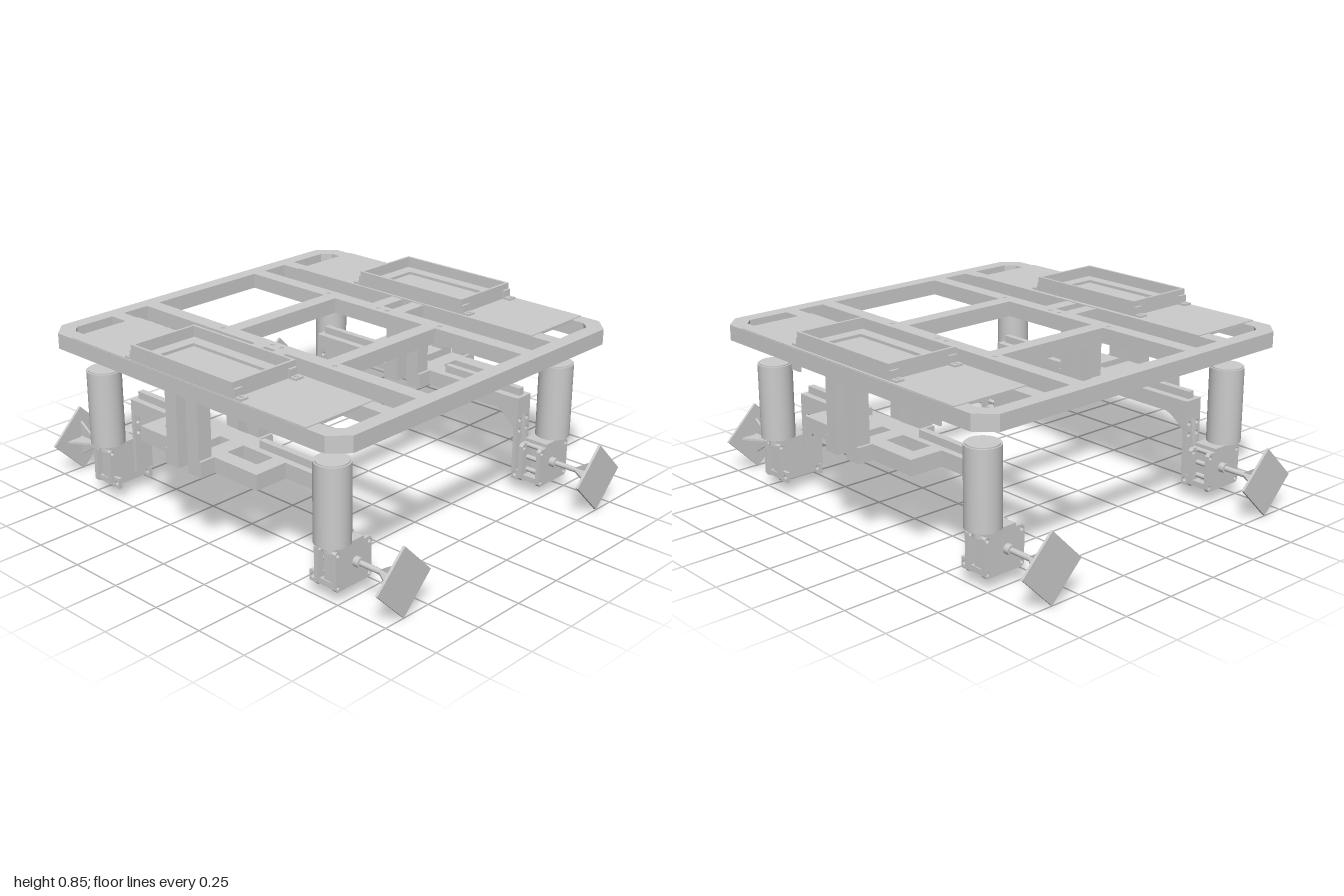
import * as THREE from 'three';

const grey = new THREE.MeshStandardMaterial({ color: 0xcccccc });

function add(parent, name, geometry) {
  const mesh = new THREE.Mesh(geometry, grey);
  mesh.name = name;
  parent.add(mesh);
  return mesh;
}

// Box given by its limits on each axis
function box(parent, name, x0, x1, y0, y1, z0, z1) {
  const g = new THREE.BoxGeometry(Math.abs(x1 - x0), y1 - y0, Math.abs(z1 - z0));
  g.translate((x0 + x1) / 2, (y0 + y1) / 2, (z0 + z1) / 2);
  return add(parent, name, g);
}

const poly = (pts) => new THREE.Shape(pts.map(([x, y]) => new THREE.Vector2(x, y)));
const rect = (x0, x1, y0, y1) => poly([[x0, y0], [x1, y0], [x1, y1], [x0, y1]]);
const hole = (x, y, r) => new THREE.Path().absarc(x, y, r, 0, Math.PI * 2, true);
const extrude = (shape, depth) =>
  new THREE.ExtrudeGeometry(shape, { depth, bevelEnabled: false, curveSegments: 14 });

// Shape in plan (x, -z), extruded upward from y0
const slab = (shape, y0, y1) => extrude(shape, y1 - y0).rotateX(-Math.PI / 2).translate(0, y0, 0);
// Shape in side view (z, y), thickness centred on x
const sideSlab = (shape, t, x) => extrude(shape, t).translate(0, 0, -t / 2).rotateY(-Math.PI / 2).translate(x, 0, 0);
// Shape in front view (x, y), from z0 to z1
const frontSlab = (shape, z0, z1) => extrude(shape, z1 - z0).translate(0, 0, z0);

function chamfered(x0, x1, z0, z1, c) {
  return poly([[x0 + c, z0], [x1 - c, z0], [x1, z0 + c], [x1, z1 - c],
    [x1 - c, z1], [x0 + c, z1], [x0, z1 - c], [x0, z0 + c]]);
}

function buildFrame(root) {
  const f = chamfered(-0.873, 0.873, -0.873, 0.873, 0.075);
  for (const [a, b] of [[-0.805, -0.335], [-0.265, 0.265], [0.335, 0.805]]) f.holes.push(rect(-0.3, 0.3, a, b));
  for (const s of [-1, 1]) {
    for (const [a, b] of [[-0.805, -0.095], [-0.03, 0.03], [0.095, 0.805]]) {
      f.holes.push(rect(Math.min(s * 0.37, s * 0.505), Math.max(s * 0.37, s * 0.505), a, b));
    }
    // Window under the side deck, clipped at its outer corners
    f.holes.push(poly([[s * 0.57, -0.805], [s * 0.765, -0.805], [s * 0.803, -0.765],
      [s * 0.803, 0.765], [s * 0.765, 0.805], [s * 0.57, 0.805]]));
    for (const z of [-0.335, -0.028, 0.028, 0.335]) f.holes.push(hole(s * 0.333, z, 0.01));
  }
  add(root, 'frame', slab(f, 0.705, 0.775));
}

function buildTray(root, cx) {
  const tray = new THREE.Group();
  tray.name = 'tray';
  tray.position.x = cx;
  root.add(tray);
  const w = 0.172, d = 0.305;
  const wall = rect(-w, w, -d, d);
  wall.holes.push(rect(-w + 0.012, w - 0.012, -d + 0.012, d - 0.012));
  add(tray, 'trayWall', slab(wall, 0.78, 0.847));
  // Floor with a shallow recess
  box(tray, 'trayFloor', -w, w, 0.778, 0.785, -d, d);
  const rim = rect(-w + 0.012, w - 0.012, -d + 0.012, d - 0.012);
  rim.holes.push(rect(-0.105, 0.105, -0.235, 0.235));
  add(tray, 'trayRim', slab(rim, 0.785, 0.798));
  for (const sx of [-1, 1]) for (const sz of [-1, 1]) {
    const x = sx * 0.149;
    box(tray, 'tabUpright', x - 0.021, x + 0.021, 0.778, 0.82, sz * 0.305, sz * 0.316);
    const foot = rect(x - 0.021, x + 0.021, Math.min(sz * 0.305, sz * 0.348), Math.max(sz * 0.305, sz * 0.348));
    foot.holes.push(hole(x, sz * 0.331, 0.01));
    add(tray, 'tabFoot', slab(foot, 0.775, 0.788));
  }
}

function buildSide(root, s) {
  const side = new THREE.Group();
  side.name = s > 0 ? 'leftSide' : 'rightSide';
  root.add(side);
  box(side, 'deck', s * 0.505, s * 0.871, 0.766, 0.779, -0.703, 0.703);
  for (const z of [-1, 1]) {
    // Post pairs and the lower beams that join them
    for (const x of [0.472, 0.803]) box(side, 'post', s * x, s * (x + 0.07), 0.45, 0.705, z * 0.03, z * 0.097);
    box(side, 'lowerBeam', s * 0.472, s * 0.873, 0.38, 0.45, z * 0.03, z * 0.11);
    // Forked outrigger beside the arm
    box(side, 'forkRail', s * 0.73, s * 0.8, 0.38, 0.45, z * 0.11, z * 0.355);
    box(side, 'forkEnd', s * 0.63, s * 0.73, 0.38, 0.45, z * 0.285, z * 0.355);
    // Hanging bracket under the deck
    box(side, 'bracketTop', s * 0.685, s * 0.765, 0.69, 0.705, z * 0.435, z * 0.495);
    if (s > 0) box(side, 'bracketDrop', 0.755, 0.766, 0.62, 0.69, z * 0.435, z * 0.495);
  }
  box(side, 'lowerArm', s * 0.545, s * 0.64, 0.38, 0.45, -0.6, 0.6);
  for (const z of [-1, 1]) box(side, 'armKey', s * 0.58, s * 0.61, 0.45, 0.484, z * 0.175, z * 0.6);
}

// Leg facing +z on the side given by m; rear legs are turned half round
function buildLeg(root, sx, sz) {
  const m = sx * sz;
  const leg = new THREE.Group();
  leg.name = (sz > 0 ? 'front' : 'rear') + (sx > 0 ? 'LeftLeg' : 'RightLeg');
  leg.rotation.y = sz > 0 ? 0 : Math.PI;
  root.add(leg);
  const bx = (name, x0, x1, ...r) => box(leg, name, m * x0, m * x1, ...r);
  const cyl = (name, r0, r1, h, x, y, z, seg = 32) =>
    add(leg, name, new THREE.CylinderGeometry(r0, r1, h, seg).translate(m * x, y, z));

  // Hanging bracket plate and its curved rib
  const plate = rect(m > 0 ? 0.548 : -0.64, m > 0 ? 0.64 : -0.548, 0.1, 0.45);
  for (const x of [0.568, 0.62]) for (const y of [0.29, 0.342]) plate.holes.push(hole(m * x, y, 0.01));
  add(leg, 'hangerPlate', frontSlab(plate, 0.6, 0.618));
  const rib = new THREE.Shape();
  rib.moveTo(0.375, 0.385);
  rib.quadraticCurveTo(0.59, 0.36, 0.634, 0.15);
  rib.lineTo(0.634, 0.21);
  rib.lineTo(0.61, 0.44);
  rib.lineTo(0.375, 0.44);
  add(leg, 'hangerRib', sideSlab(rib, 0.02, m * 0.594));

  // Motor standing on the gearbox
  cyl('motor', 0.077, 0.077, 0.345, 0.72, 0.4225, 0.692, 40);
  cyl('motorCap', 0.07, 0.07, 0.006, 0.72, 0.597, 0.692, 40);
  cyl('motorNeck', 0.045, 0.045, 0.04, 0.72, 0.235, 0.692);

  // Gearbox: two drilled plates around a core
  for (const [z0, z1] of [[0.632, 0.652], [0.728, 0.748]]) {
    const p = chamfered(-0.104, 0.104, 0.055, 0.235, 0.012);
    for (const x of [-0.09, 0.09]) for (const y of [0.075, 0.215]) p.holes.push(hole(x, y, 0.009));
    add(leg, 'gearboxPlate', frontSlab(p, z0, z1).translate(m * 0.658, 0, 0));
  }
  bx('gearboxCore', 0.6, 0.745, 0.085, 0.225, 0.67, 0.71);
  for (const x of [0.595, 0.72]) for (const y of [0.105, 0.165, 0.225]) {
    add(leg, 'spacer', new THREE.CylinderGeometry(0.011, 0.011, 0.085, 12)
      .rotateX(Math.PI / 2).translate(m * x, y, 0.69));
  }
  bx('gearboxTop', 0.6, 0.76, 0.235, 0.25, 0.632, 0.748);
  bx('gearboxBase', 0.565, 0.75, 0.06, 0.085, 0.64, 0.74);
  for (const x of [0.565, 0.74]) {
    const ear = rect(0.595, 0.635, 0.055, 0.103);
    ear.holes.push(hole(0.612, 0.079, 0.01));
    add(leg, 'gearboxEar', sideSlab(ear, 0.016, m * x));
  }

  // Output shaft
  const shaft = (name, r, z0, z1) => add(leg, name, new THREE.CylinderGeometry(r, r, z1 - z0, 20)
    .rotateX(Math.PI / 2).translate(m * 0.645, 0.155, (z0 + z1) / 2));
  shaft('shaft', 0.012, 0.69, 0.99);
  shaft('shaftCollar', 0.022, 0.745, 0.775);

  // Diamond foot plate with crossed gussets
  const foot = poly([[0, -0.155], [0.155, 0], [0, 0.155], [-0.155, 0]]);
  for (const [x, y] of [[0, 0.09], [0, -0.09], [0.125, 0], [-0.125, 0]]) foot.holes.push(hole(x, y, 0.011));
  add(leg, 'footPlate', frontSlab(foot, 0.988, 1).translate(m * 0.645, 0.155, 0));
  const gusset = poly([[0.88, -0.012], [0.988, -0.082], [0.988, 0.082], [0.88, 0.012]]);
  for (const a of [0, Math.PI / 2]) {
    add(leg, 'footGusset', sideSlab(gusset, 0.01, 0).rotateZ(a).translate(m * 0.645, 0.155, 0));
  }
}

export function createModel() {
  const root = new THREE.Group();
  root.name = 'fourLeggedChassis';
  buildFrame(root);
  buildTray(root, -0.697);
  buildTray(root, 0.688);
  for (const sx of [-1, 1]) {
    buildSide(root, sx);
    for (const sz of [-1, 1]) buildLeg(root, sx, sz);
  }
  return root;
}
